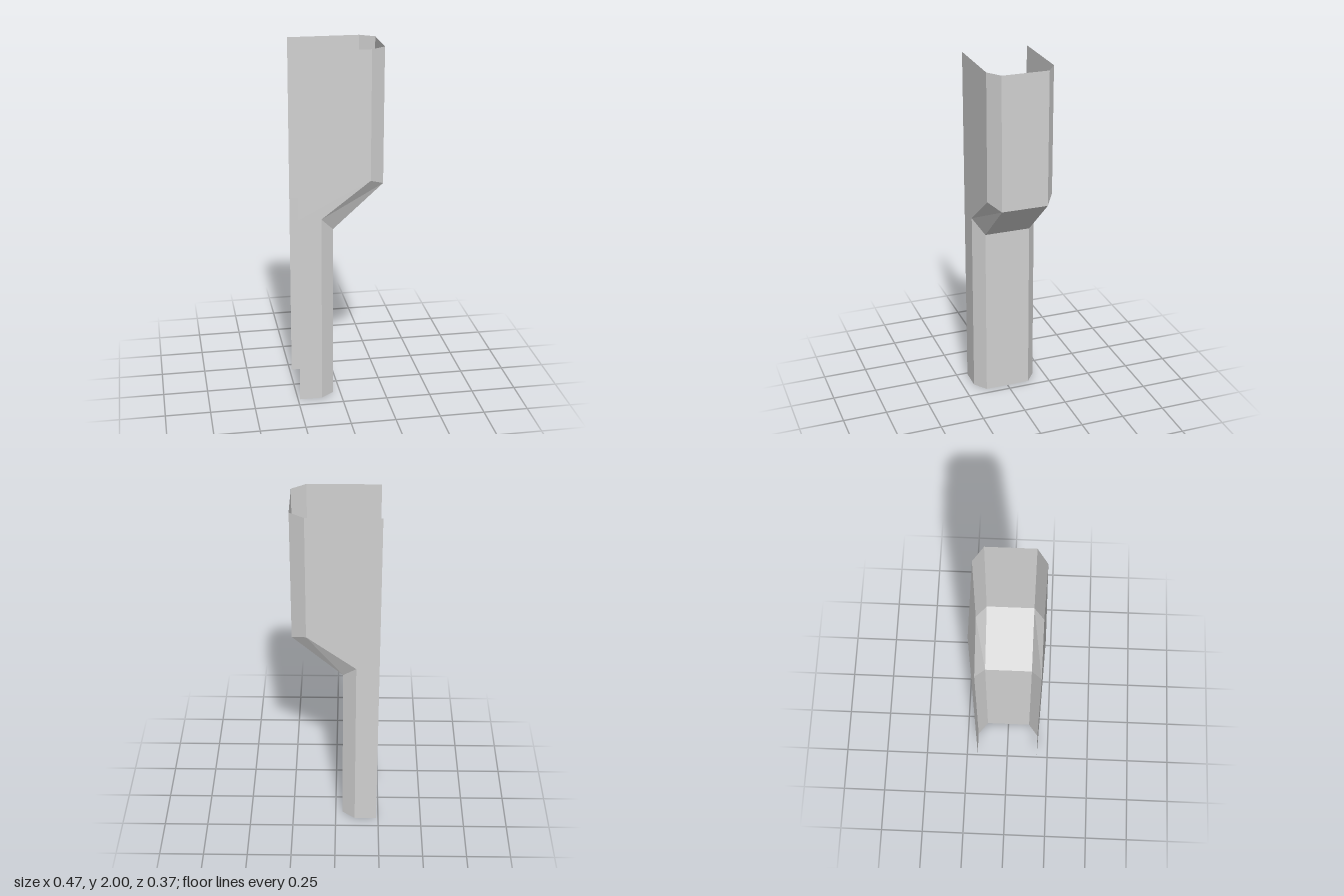
import * as THREE from 'three';

// Each column lists [x, y] from bottom to top; z is its distance from the middle plane
const edge = { z: 0.185, pts: [[-0.238, 0], [-0.238, 1.08], [-0.238, 1.285], [-0.238, 2]] };
const ridge = { z: 0.185, pts: [[-0.112, 0], [-0.112, 1.08], [0.157, 1.285], [0.157, 2]] };
const corner = { z: 0.13, pts: [[-0.04, 0], [-0.04, 1.0], [0.236, 1.25], [0.236, 2]] };

// Flat-shaded strip of quads between two columns, a on the left seen from outside
function strip(a, za, b, zb) {
  const pos = [];
  const put = (c, z, i) => pos.push(c.pts[i][0], c.pts[i][1], z);
  for (let i = 0; i < 3; i++) {
    put(a, za, i); put(b, zb, i); put(b, zb, i + 1);
    put(a, za, i); put(b, zb, i + 1); put(a, za, i + 1);
  }
  const geo = new THREE.BufferGeometry();
  geo.setAttribute('position', new THREE.Float32BufferAttribute(pos, 3));
  geo.computeVertexNormals();
  return geo;
}

export function createModel() {
  const group = new THREE.Group();
  group.name = 'steppedChannel';
  const grey = new THREE.MeshStandardMaterial({ color: 0xd0d0d0, side: THREE.DoubleSide });
  grey.name = 'lightGrey';

  const add = (name, geo) => {
    const mesh = new THREE.Mesh(geo, grey);
    mesh.name = name;
    group.add(mesh);
  };

  // Front flange and bevel
  add('frontFlange', strip(edge, edge.z, ridge, ridge.z));
  add('frontBevel', strip(ridge, ridge.z, corner, corner.z));
  // Outer wall with the sloping step
  add('outerWall', strip(corner, corner.z, corner, -corner.z));
  // Back bevel and flange
  add('backBevel', strip(corner, -corner.z, ridge, -ridge.z));
  add('backFlange', strip(ridge, -ridge.z, edge, -edge.z));
  return group;
}
